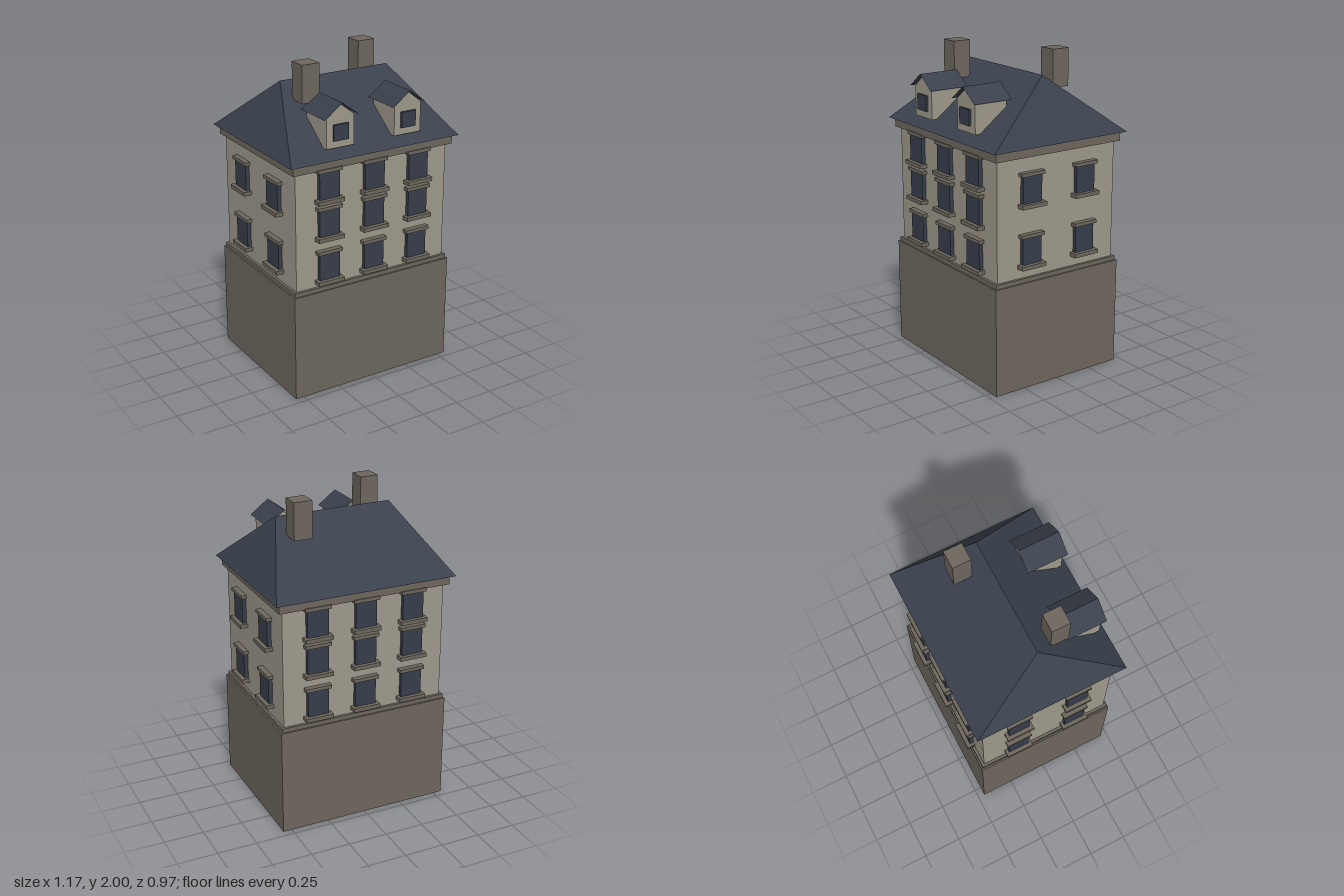
import * as THREE from 'three';
import { ConvexGeometry } from 'three/addons/geometries/ConvexGeometry.js';

const paint = (name, color, side = THREE.FrontSide) => {
  const m = new THREE.MeshStandardMaterial({ color, side });
  m.name = name;
  return m;
};

export function createModel() {
  const stone = paint('dark stone', 0x6e675d, THREE.DoubleSide);
  const plaster = paint('pale plaster', 0xa09a8c);
  const slate = paint('blue slate', 0x3a414d, THREE.DoubleSide);
  const glass = paint('window glass', 0x373e4b);

  const house = new THREE.Group();
  house.name = 'house';

  const add = (parent, name, geometry, material, x = 0, y = 0, z = 0) => {
    const mesh = new THREE.Mesh(geometry, material);
    mesh.name = name;
    mesh.position.set(x, y, z);
    parent.add(mesh);
    return mesh;
  };
  // Box given by its size in x and z and its bottom and top heights
  const block = (parent, name, material, w, d, y0, y1, x = 0, z = 0) =>
    add(parent, name, new THREE.BoxGeometry(w, y1 - y0, d), material, x, (y0 + y1) / 2, z);

  // Foundation, open underneath (the bottom face is dropped)
  const base = block(house, 'foundation', stone, 1.11, 0.914, 0, 0.677);
  const faces = Array.from(base.geometry.index.array);
  faces.splice(18, 6);
  base.geometry.setIndex(faces);
  base.geometry.clearGroups();

  // Main body
  block(house, 'plinthLedge', stone, 1.09, 0.894, 0.677, 0.703);
  block(house, 'walls', plaster, 1.056, 0.86, 0.703, 1.44);
  block(house, 'cornice', stone, 1.11, 0.914, 1.44, 1.497);

  // Hipped roof
  const roofPoints = [];
  for (const s of [-1, 1]) {
    roofPoints.push(new THREE.Vector3(s * 0.375, 1.863, 0));
    for (const t of [-1, 1]) roofPoints.push(new THREE.Vector3(s * 0.583, 1.497, t * 0.485));
  }
  add(house, 'roof', new ConvexGeometry(roofPoints), slate);

  // One window facing +z, origin on the wall at the bottom of the glass
  const makeWindow = (lintelHeight) => {
    const g = new THREE.Group();
    g.name = 'window';
    block(g, 'pane', glass, 0.136, 0.05, 0, 0.168, 0, 0);
    block(g, 'sill', stone, 0.176, 0.10, -0.025, 0, 0, 0);
    block(g, 'lintel', stone, 0.166, 0.07, 0.165, 0.165 + lintelHeight, 0, 0);
    return g;
  };
  for (const side of [1, -1]) {
    // Front and back: three storeys of three
    for (const y of [0.75, 1.027, 1.26]) {
      for (const x of [-0.312, 0, 0.312]) {
        const w = makeWindow(0.022);
        w.position.set(x, y, side * 0.43);
        w.rotation.y = side > 0 ? 0 : Math.PI;
        house.add(w);
      }
    }
    // Ends: two storeys of two
    for (const y of [0.79, 1.163]) {
      for (const z of [-0.196, 0.196]) {
        const w = makeWindow(0.022);
        w.position.set(side * 0.528, y, z);
        w.rotation.y = side * Math.PI / 2;
        house.add(w);
      }
    }
  }

  // Dormers on the front slope
  const gable = new THREE.Shape([
    [-0.093, 1.555], [0.093, 1.555], [0.093, 1.74], [0, 1.814], [-0.093, 1.74],
  ].map(([x, y]) => new THREE.Vector2(x, y)));
  const rise = 0.088, run = 0.117;
  for (const side of [-1, 1]) {
    const dormer = new THREE.Group();
    dormer.name = side > 0 ? 'leftDormer' : 'rightDormer';
    dormer.position.x = side * 0.233;
    add(dormer, 'dormerBody',
      new THREE.ExtrudeGeometry(gable, { depth: 0.22, bevelEnabled: false }), plaster, 0, 0, 0.22);
    block(dormer, 'dormerPane', glass, 0.1, 0.03, 1.6, 1.697, 0, 0.44);
    // Two thin roof slopes
    for (const s of [-1, 1]) {
      const slope = new THREE.PlaneGeometry(Math.hypot(rise, run), 0.262).rotateX(-Math.PI / 2);
      const sheet = add(dormer, 'dormerRoof', slope, slate, s * run / 2, 1.825 - rise / 2, 0.331);
      sheet.rotation.z = -s * Math.atan2(rise, run);
    }
    house.add(dormer);
  }

  // Chimneys, set diagonally across the ridge
  for (const s of [-1, 1]) {
    block(house, 'chimney', stone, 0.116, 0.116, 1.77, 2, s * 0.292, -s * 0.156);
  }
  return house;
}
